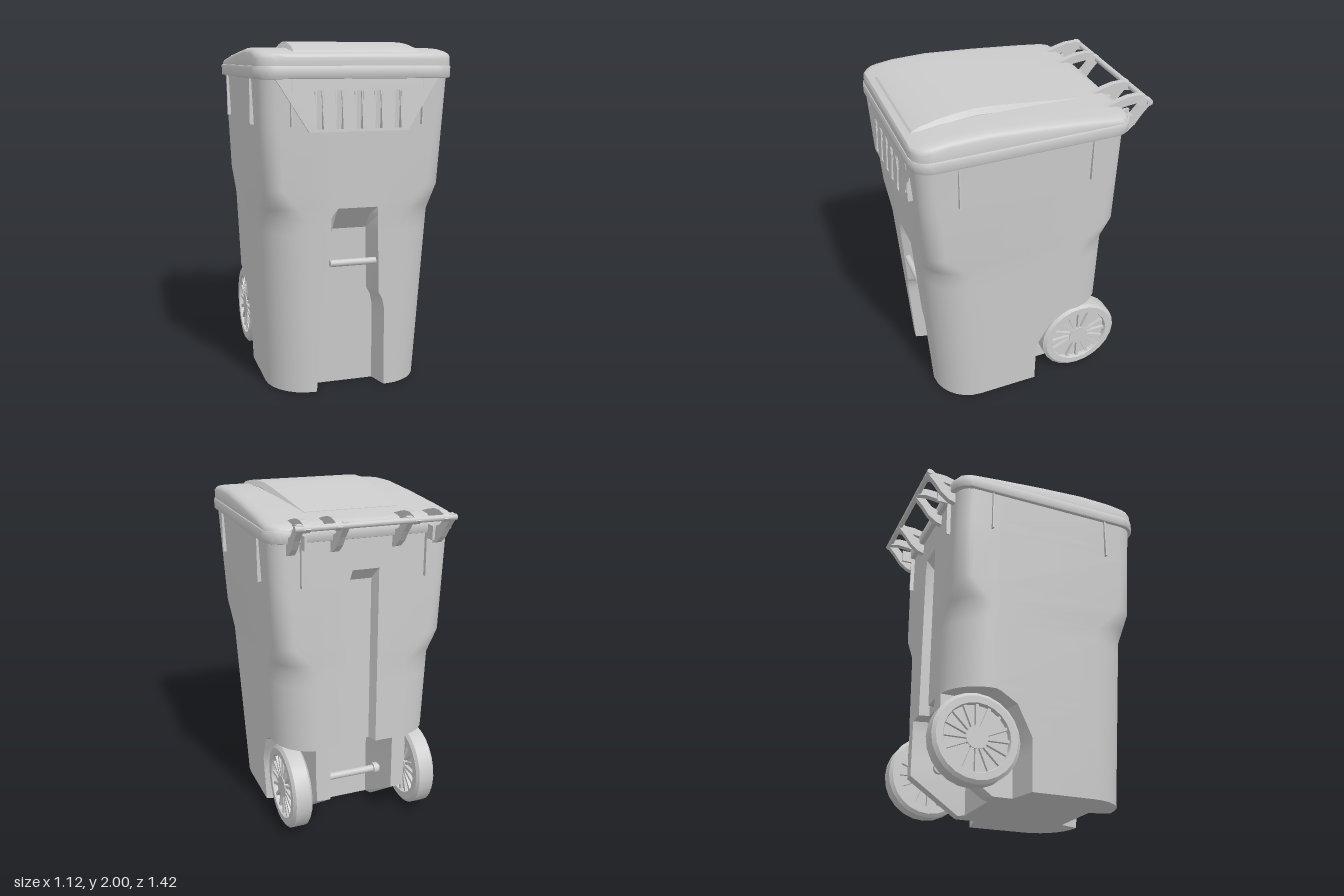
import * as THREE from 'three';
import { toCreasedNormals } from 'three/addons/utils/BufferGeometryUtils.js';

const material = new THREE.MeshStandardMaterial({ color: 0xcccccc, side: THREE.DoubleSide });

// piecewise linear lookup in a list of [key, value]
function lookup(table, k) {
  if (k <= table[0][0]) return table[0][1];
  for (let i = 1; i < table.length; i++) {
    const [a, va] = table[i - 1], [b, vb] = table[i];
    if (k <= b) return va + (vb - va) * (k - a) / (b - a);
  }
  return table[table.length - 1][1];
}

// skin over closed rings of [x, y, z]; the ends are capped in the plane of the two given axes
function loft(rings, u, v, crease = 0.5) {
  const n = rings[0].length, pos = [];
  const tri = (a, b, c) => pos.push(...a, ...b, ...c);
  for (let i = 0; i + 1 < rings.length; i++) {
    for (let j = 0; j < n; j++) {
      const k = (j + 1) % n, p = rings[i], q = rings[i + 1];
      tri(p[j], p[k], q[k]);
      tri(p[j], q[k], q[j]);
    }
  }
  for (const ring of [rings[0], rings[rings.length - 1]]) {
    const flat = ring.map(p => new THREE.Vector2(p[u], p[v]));
    for (const [a, b, c] of THREE.ShapeUtils.triangulateShape(flat, [])) tri(ring[a], ring[b], ring[c]);
  }
  const g = new THREE.BufferGeometry();
  g.setAttribute('position', new THREE.Float32BufferAttribute(pos, 3));
  return toCreasedNormals(g, crease);
}

const frontZ = y => 0.58 + 0.056 * y;
const sideX = y => 0.46 + 0.045 * y;

// one horizontal outline of the body, with front channel, wheel wells and back recess
function bodyRing(y, low) {
  const X = sideX(y), zf = frontZ(y);
  const zb = lookup([[0, -0.22], [0.21, -0.52]], y);
  const r = lookup([[1.04, 0.24], [1.2, 0.1]], y);
  const depth = lookup([[0.95, 0.12], [1.09, 0]], y);
  const lip = lookup([[0, 0.205], [0.52, 0.19], [0.58, 0.155], [1.09, 0.133]], y);
  const half = [[0, zf - depth], [lip - 0.035, zf - depth], [lip, zf]];
  const N = 7;
  for (let i = 0; i <= N; i++) {
    const a = i / N * Math.PI / 2;
    half.push([X - r + r * Math.sin(a), zf - r + r * Math.cos(a)]);
  }
  const zw = lookup([[0.3, -0.04], [0.48, -0.13], [0.54, -0.23], [0.55, -0.26]], y);
  const well = 0.29;
  half.push([X, zw], [low ? well : X, zw - 0.04]);
  for (let i = 0; i <= N; i++) {
    const a = i / N * Math.PI / 2;
    const x = X - r + r * Math.cos(a), z = Math.min(zb + r - r * Math.sin(a), zw - 0.04);
    half.push([low ? Math.min(x, well) : x, z]);
  }
  if (low) {
    const floor = lookup([[0.4, -0.18], [0.55, -0.44]], y);
    half.push([0.2, zb], [0.18, floor], [0, floor]);
  } else {
    const floor = zb + lookup([[1.55, 0.06], [1.62, 0]], y);
    half.push([0.09, zb], [0.07, floor], [0, floor]);
  }
  const mirrored = half.slice(1, -1).reverse().map(([x, z]) => [-x, z]);
  return [...half, ...mirrored].map(([x, z]) => [x, y, z]);
}

function lidSections() {
  const x0 = 0.555, r = 0.1, back = -0.545, front = 0.695, rings = [];
  const zs = [-0.545, -0.535, -0.51, -0.48, -0.445, -0.3, -0.15, 0, 0.15, 0.3, 0.4, 0.5, 0.595, 0.63, 0.66, 0.685, 0.695];
  const top = [[-0.545, 1.88], [-0.51, 1.9], [-0.3, 1.922], [0, 1.948], [0.3, 1.967], [0.5, 1.962], [0.63, 1.945], [0.685, 1.93], [0.695, 1.915]];
  for (const z of zs) {
    const d = Math.max(0, r - Math.min(z - back, front - z));
    const X = x0 - r + Math.sqrt(r * r - d * d), h = lookup(top, z);
    const half = [[X, 1.865], [X, h - 0.03], [X - 0.01, h - 0.014], [X - 0.03, h - 0.004], [X - 0.07, h]];
    rings.push([...half, ...half.slice().reverse().map(([x, y]) => [-x, y])].map(([x, y]) => [x, y, z]));
  }
  return rings;
}

function raisedPanelSections() {
  const top = [[-0.33, 1.921], [0, 1.967], [0.15, 1.987], [0.28, 2], [0.4, 1.996], [0.5, 1.985], [0.6, 1.965], [0.64, 1.95], [0.69, 1.9]];
  return [-0.33, -0.15, 0, 0.15, 0.22, 0.28, 0.34, 0.4, 0.45, 0.5, 0.55, 0.6, 0.64, 0.69].map(z => {
    const w = lookup([[-0.33, 0.3], [0.64, 0.37]], z), h = lookup(top, z);
    return [[w, 1.88], [w, h - 0.03], [w - 0.02, h], [-w + 0.02, h], [-w, h - 0.03], [-w, 1.88]].map(([x, y]) => [x, y, z]);
  });
}

const points = list => new THREE.Shape(list.map(([x, y]) => new THREE.Vector2(x, y)));

function roundedRect(w, h, r) {
  const s = new THREE.Shape();
  [[w - r, h - r, 0], [r - w, h - r, 1], [r - w, r - h, 2], [w - r, r - h, 3]]
    .forEach(([x, y, q]) => s.absarc(x, y, r, q * Math.PI / 2, (q + 1) * Math.PI / 2, false));
  return s;
}

export function createModel() {
  const model = new THREE.Group();
  const add = (name, geometry, x = 0, y = 0, z = 0, parent = model) => {
    const m = new THREE.Mesh(geometry, material);
    m.name = name;
    m.position.set(x, y, z);
    parent.add(m);
    return m;
  };
  const box = (name, x, y, z, w, h, d, parent) => add(name, new THREE.BoxGeometry(w, h, d), x, y, z, parent);
  const rod = (name, r, len, x, y, z, parent) =>
    add(name, new THREE.CylinderGeometry(r, r, len, 16).rotateZ(Math.PI / 2), x, y, z, parent);

  // body
  const lowRings = [0, 0.21, 0.3, 0.4, 0.48, 0.54, 0.55].map(y => bodyRing(y, true));
  const highRings = [0.55, 0.58, 0.95, 1.04, 1.09, 1.2, 1.55, 1.62, 1.84].map(y => bodyRing(y, false));
  add('body', loft([...lowRings, ...highRings], 0, 2));
  rod('frontLiftBar', 0.02, 0.27, 0, 0.77, frontZ(0.77) - 0.02);

  // rim and lid
  const rim = new THREE.ExtrudeGeometry(roundedRect(0.55, 0.615, 0.1), {
    depth: 0.05, bevelSize: 0.012, bevelThickness: 0.01, bevelSegments: 2, curveSegments: 8 });
  add('rim', toCreasedNormals(rim.rotateX(-Math.PI / 2), 0.6), 0, 1.81, 0.075);
  add('lid', loft(lidSections(), 0, 1, 0.6));
  add('raisedLidPanel', loft(raisedPanelSections(), 0, 1, 0.4));

  // slotted apron hanging from the front of the rim
  const apron = points([[-0.48, 0.29], [-0.45, 0.27], [-0.28, 0], [0.28, 0], [0.45, 0.27], [0.48, 0.29]]);
  const slots = [-2, -1, 0, 1, 2].map(i => i * 0.11);
  for (const x of slots) {
    apron.holes.push(new THREE.Path([[-0.02, 0.015], [-0.013, 0.22], [0.013, 0.22], [0.02, 0.015]]
      .map(([dx, y]) => new THREE.Vector2(x + dx, y))));
  }
  const apronMesh = add('frontApron',
    new THREE.ExtrudeGeometry(apron, { depth: 0.012, bevelEnabled: false }), 0, 1.52, 0.696);
  apronMesh.rotation.x = -0.06;
  for (const x of slots) for (const s of [-1, 1]) box('apronRib', x + s * 0.024, 1.63, 0.682, 0.006, 0.21, 0.034);

  // thin gussets under the rim
  for (const s of [-1, 1]) {
    for (const z of [0.46, -0.31]) box('sideGusset', s * 0.525, 1.68, z, 0.055, 0.26, 0.009);
    box('frontGusset', s * 0.37, 1.68, 0.67, 0.009, 0.26, 0.05);
    box('backGusset', s * 0.37, 1.68, -0.52, 0.009, 0.26, 0.05);
  }

  // hinge: profiles drawn as [z, y], extruded across x
  const across = (list, width) => new THREE.ExtrudeGeometry(
    points(list.map(([z, y]) => [-z, y])), { depth: width, bevelEnabled: false }).rotateY(Math.PI / 2)
    .translate(-width / 2, 0, 0);
  const armProfile = [[-0.44, 1.905], [-0.52, 1.928], [-0.58, 1.942], [-0.64, 1.943], [-0.69, 1.93],
    [-0.71, 1.905], [-0.69, 1.885], [-0.64, 1.895], [-0.58, 1.89], [-0.5, 1.88]];
  const bracketProfile = [[-0.51, 1.73], [-0.56, 1.745], [-0.61, 1.785], [-0.65, 1.84], [-0.7, 1.895],
    [-0.7, 1.925], [-0.67, 1.93], [-0.63, 1.895], [-0.59, 1.85], [-0.51, 1.82]];
  for (const s of [-1, 1]) {
    for (const x of [0.222, 0.397]) add('lidHingeArm', across(armProfile, 0.036), s * x);
    for (const x of [0.182, 0.433]) add('hingeBracket', across(bracketProfile, 0.034), s * x);
    box('hingeLug', s * 0.372, 1.81, -0.575, 0.014, 0.08, 0.07);
  }
  rod('handleBar', 0.017, 0.92, 0, 1.908, -0.69);

  // wheels and axle
  const cy = 0.265, cz = -0.355;
  rod('axle', 0.022, 0.8, 0, cy, cz);
  for (const s of [-1, 1]) {
    rod('axleCollar', 0.035, 0.03, s * 0.165, cy, cz);
    const wheel = new THREE.Group();
    wheel.name = 'wheel';
    wheel.position.set(s * 0.4, cy, cz);
    wheel.rotation.y = s > 0 ? 0 : Math.PI;
    model.add(wheel);
    const tyre = [[0.19, -0.06], [0.235, -0.06], [0.255, -0.045], [0.255, 0.045], [0.235, 0.06], [0.195, 0.06], [0.19, 0.05], [0.19, -0.06]]
      .map(([r, a]) => new THREE.Vector2(r, a));
    add('tyre', toCreasedNormals(new THREE.LatheGeometry(tyre, 24).rotateZ(-Math.PI / 2), 0.5), 0, 0, 0, wheel);
    rod('wheelDisc', 0.195, 0.06, 0, 0, 0, wheel);
    rod('hub', 0.065, 0.11, 0, 0, 0, wheel);
    for (let i = 0; i < 16; i++) {
      const a = i * Math.PI / 8;
      const spoke = box('spoke', 0, 0.128 * Math.cos(a), 0.128 * Math.sin(a), 0.1, 0.14, 0.018, wheel);
      spoke.rotation.x = a;
    }
  }
  return model;
}
